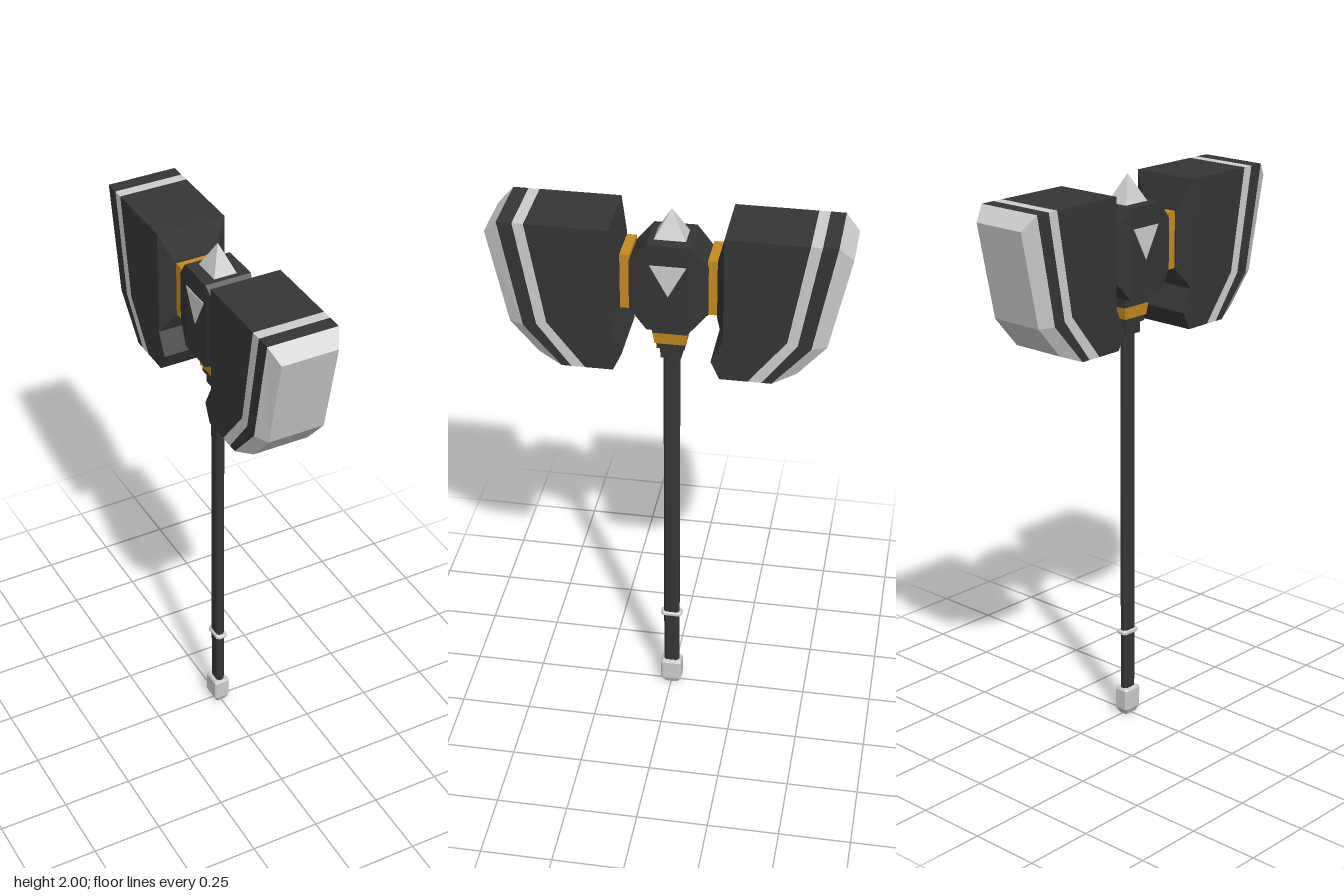
import * as THREE from 'three';

const mat = (name, color) => {
  const m = new THREE.MeshStandardMaterial({ color });
  m.name = name;
  return m;
};

// Joins loops of equal length (counter-clockwise seen from the last one) and caps both ends.
function loft(sections) {
  const pos = [];
  const quad = (a, b, c, d) => pos.push(...a, ...b, ...c, ...a, ...c, ...d);
  const n = sections[0].length;
  for (let s = 0; s < sections.length - 1; s++) {
    const lo = sections[s], hi = sections[s + 1];
    for (let i = 0; i < n; i++) {
      const j = (i + 1) % n;
      quad(lo[i], lo[j], hi[j], hi[i]);
    }
  }
  const first = sections[0], last = sections[sections.length - 1];
  for (let i = 0; i < n / 2 - 1; i++) {
    quad(last[i], last[i + 1], last[n - 2 - i], last[n - 1 - i]);
    quad(first[n - 1 - i], first[n - 2 - i], first[i + 1], first[i]);
  }
  const g = new THREE.BufferGeometry();
  g.setAttribute('position', new THREE.Float32BufferAttribute(pos, 3));
  g.computeVertexNormals();
  return g;
}

// Rectangular sections stacked along y or along z
const rectY = ([y, hx, hz]) => [[hx, y, hz], [hx, y, -hz], [-hx, y, -hz], [-hx, y, hz]];
const rectZ = ([z, hx, y0, y1]) => [[hx, y0, z], [hx, y1, z], [-hx, y1, z], [-hx, y0, z]];
// Rectangle with cut corners, stacked along y
const octY = ([y, hx, hz, c]) => [
  [hx, y, hz - c], [hx, y, c - hz], [hx - c, y, -hz], [c - hx, y, -hz],
  [-hx, y, c - hz], [-hx, y, hz - c], [c - hx, y, hz], [hx - c, y, hz],
];

// Side outline of [z, y] points, extruded across x
function slab(points, halfWidth) {
  const shape = new THREE.Shape(points.map(([z, y]) => new THREE.Vector2(z, y)));
  const g = new THREE.ExtrudeGeometry(shape, { depth: halfWidth * 2, bevelEnabled: false });
  g.translate(0, 0, -halfWidth);
  g.rotateY(-Math.PI / 2);
  return g;
}

export function createModel() {
  const dark = mat('dark iron', 0x353535);
  const silver = mat('silver', 0xcccccc);
  const gold = mat('gold', 0xc68a1e);
  const model = new THREE.Group();
  model.name = 'warHammer';
  const add = (parent, name, geometry, material) => {
    const mesh = new THREE.Mesh(geometry, material);
    mesh.name = name;
    parent.add(mesh);
    return mesh;
  };

  // Handle
  add(model, 'shaft', loft([[0.08, 0.015, 0.028, 0.008], [1.46, 0.015, 0.028, 0.008]].map(octY)), dark);
  add(model, 'shaftRing', loft([
    [0.316, 0.018, 0.034, 0.008], [0.32, 0.022, 0.039, 0.01],
    [0.328, 0.022, 0.039, 0.01], [0.332, 0.018, 0.034, 0.008],
  ].map(octY)), silver);
  add(model, 'pommel', loft([
    [0, 0.019, 0.027, 0.006], [0.022, 0.029, 0.038, 0.006],
    [0.095, 0.029, 0.038, 0.006], [0.102, 0.024, 0.033, 0.006],
  ].map(octY)), silver);

  // Stepped collar under the head
  add(model, 'collarBase', loft([[1.445, 0.025, 0.035], [1.488, 0.025, 0.037]].map(rectY)), dark);
  add(model, 'collarStep', loft([[1.486, 0.034, 0.048], [1.508, 0.034, 0.048]].map(rectY)), dark);
  add(model, 'collarBand', loft([[1.508, 0.039, 0.053], [1.55, 0.042, 0.06]].map(rectY)), gold);
  add(model, 'collarTop', loft([[1.55, 0.042, 0.06], [1.59, 0.042, 0.06]].map(rectY)), dark);

  // Core block with tapered ends, and the spike on top
  add(model, 'core', loft([
    [-0.133, 0.07, 1.655, 1.835], [-0.072, 0.083, 1.586, 1.904],
    [0.072, 0.083, 1.586, 1.904], [0.133, 0.07, 1.655, 1.835],
  ].map(rectZ)), dark);
  add(model, 'spike', loft([[1.903, 0.042, 0.054], [2, 0.0005, 0.0005]].map(rectY)), silver);

  // Triangle inlays on both cheeks of the core
  for (const side of [-1, 1]) {
    const inlay = add(model, 'triangleInlay', slab([[-0.061, 1.83], [0, 1.717], [0.061, 1.83]], 0.003), silver);
    inlay.position.x = side * 0.083;
  }

  // Striking blocks: curves run from the top edge to the bottom edge as [z, y]
  const W = 0.125;
  const rim = [[0.557, 1.968], [0.483, 1.588], [0.355, 1.443]];
  const stripeOuter = [[0.505, 1.968], [0.438, 1.597], [0.322, 1.443]];
  const stripeInner = [[0.467, 1.968], [0.403, 1.606], [0.275, 1.443]];
  const face = [[0.605, 1.918], [0.533, 1.586], [0.436, 1.475]];
  const back = [[0.18, 1.443], [0.15, 1.507], [0.19, 1.586], [0.19, 1.968]];
  const between = (a, b) => [...a, ...[...b].reverse()];
  const around = (curve, hx) => [
    ...curve.map(([z, y]) => [-hx, y, z]),
    ...[...curve].reverse().map(([z, y]) => [hx, y, z]),
  ];
  for (const [name, turn] of [['frontBlock', 0], ['backBlock', Math.PI]]) {
    const block = new THREE.Group();
    block.name = name;
    block.rotation.y = turn;
    add(block, 'blockBody', slab([...stripeInner, ...back], W), dark);
    add(block, 'blockStripe', slab(between(stripeOuter, stripeInner), W), silver);
    add(block, 'blockBand', slab(between(rim, stripeOuter), W), dark);
    add(block, 'strikingFace', loft([around(rim, W), around(face, 0.1)]), silver);
    add(block, 'blockBoss', loft([[0.163, 0.075, 1.65, 1.86], [0.19, W, 1.586, 1.968]].map(rectZ)), dark);
    add(block, 'goldJoint', loft([[0.13, 0.07, 1.655, 1.855], [0.166, 0.07, 1.655, 1.855]].map(rectZ)), gold);
    model.add(block);
  }
  return model;
}
